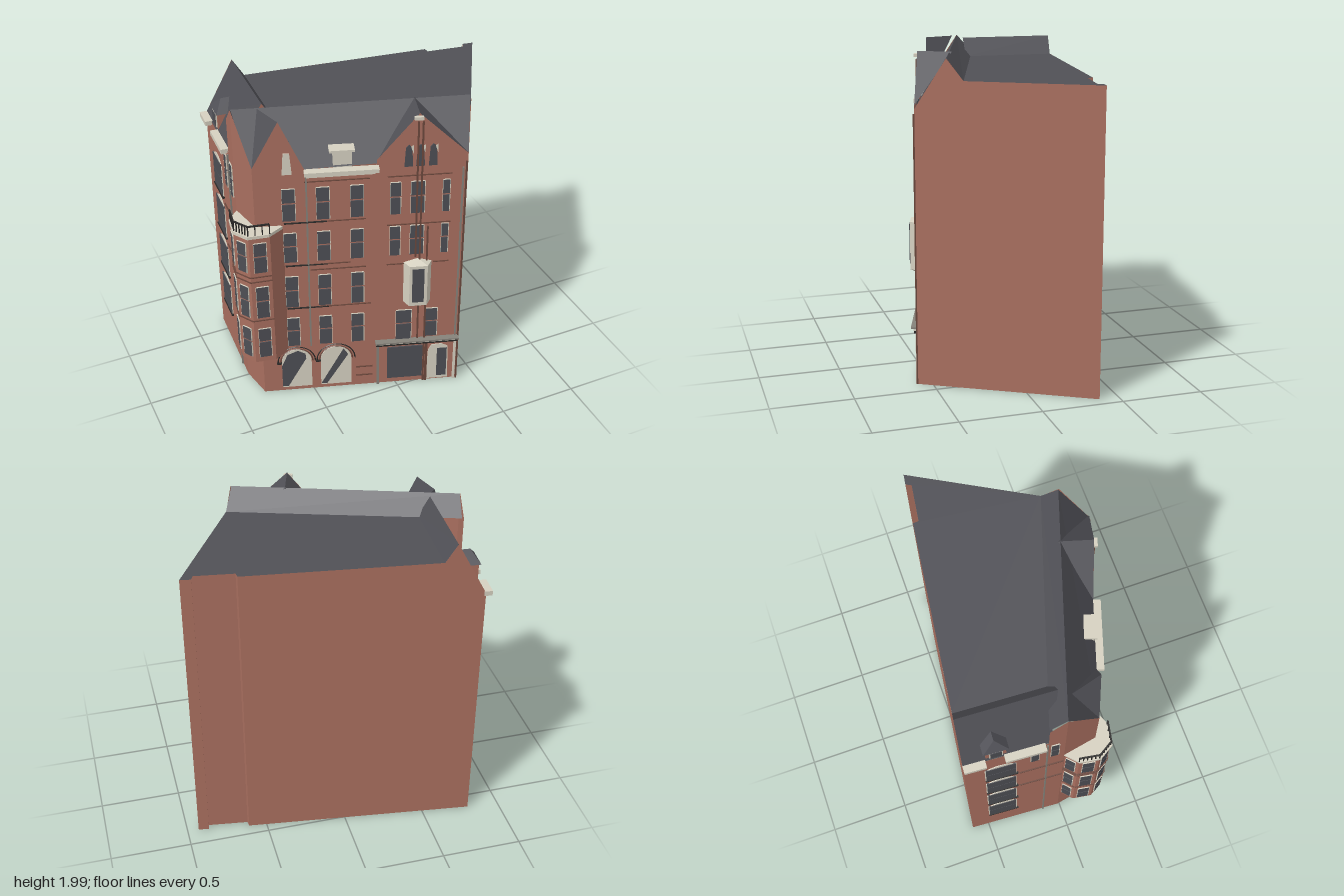
import * as THREE from 'three';

const mat = (name, color) => {
  const m = new THREE.MeshStandardMaterial({ color, side: THREE.DoubleSide, flatShading: true });
  m.name = name;
  return m;
};

export function createModel() {
  const root = new THREE.Group();
  root.name = 'cornerTownhouse';
  const brick = mat('brick', 0xa96f5f), slate = mat('slate', 0x505056), glass = mat('glass', 0x4d4e54);
  const cream = mat('creamStone', 0xd5d0c0), iron = mat('blackIron', 0x2a2928), band = mat('darkBand', 0x6b473c);
  const lead = mat('greyLead', 0x85827a);

  const add = (parent, name, geo, m, x = 0, y = 0, z = 0) => {
    const mesh = new THREE.Mesh(geo, m);
    mesh.name = name;
    mesh.position.set(x, y, z);
    parent.add(mesh);
    return mesh;
  };
  // convex polygon in space, as a fan
  const face = (parent, name, m, pts) => {
    const g = new THREE.BufferGeometry().setFromPoints(pts.map(p => new THREE.Vector3(...p)));
    const idx = [];
    for (let i = 1; i < pts.length - 1; i++) idx.push(0, i, i + 1);
    g.setIndex(idx);
    const flat = g.toNonIndexed();
    flat.computeVertexNormals();
    return add(parent, name, flat, m);
  };
  const shape = pts => new THREE.Shape(pts.map(p => new THREE.Vector2(...p)));
  // wall frame: x runs from a to b (seen from outside), y up, z outward
  const wall = (name, a, b) => {
    const g = new THREE.Group();
    g.name = name;
    g.position.set(a[0], 0, a[1]);
    g.rotation.y = -Math.atan2(b[1] - a[1], b[0] - a[0]);
    g.userData.len = Math.hypot(b[0] - a[0], b[1] - a[1]);
    root.add(g);
    return g;
  };
  const outline = (w, pts) => add(w, 'brickFace', new THREE.ShapeGeometry(shape(pts)), brick);
  const panel = (w, name, m, x0, x1, y0, y1, z = 0, d = 0.009) =>
    add(w, name, new THREE.BoxGeometry(x1 - x0, y1 - y0, d), m, (x0 + x1) / 2, (y0 + y1) / 2, z);
  const plate = (w, name, m, s, z) =>
    add(w, name, new THREE.ExtrudeGeometry(s, { depth: 0.008, bevelEnabled: false, curveSegments: 8 }), m, 0, 0, z);
  // prism standing on a plan polygon of [x, z] points
  const prism = (parent, name, m, plan, y0, y1) => {
    const g = new THREE.ExtrudeGeometry(shape(plan.map(([x, z]) => [x, -z])), { depth: y1 - y0, bevelEnabled: false });
    g.rotateX(-Math.PI / 2);
    return add(parent, name, g, m, 0, y0, 0);
  };
  const cone = (parent, name, m, plan, y, tip) => plan.forEach((p, i) => {
    const q = plan[(i + 1) % plan.length];
    face(parent, name, m, [[p[0], y, p[1]], [q[0], y, q[1]], tip]);
  });
  // sash window: two panes edged by thin stone strips, brick showing between
  const sash = (w, c, width, y0, y1) => {
    const h = width / 2, mid = (y0 + y1) / 2 + 0.01;
    for (const [a, b] of [[y0, mid - 0.006], [mid + 0.006, y1]]) {
      panel(w, 'windowPane', glass, c - h, c + h, a, b, 0.002);
      panel(w, 'windowEdge', cream, c + h, c + h + 0.004, a, b, 0.002);
      panel(w, 'windowEdge', cream, c - h - 0.002, c - h, a, b, 0.002);
    }
    panel(w, 'windowHead', cream, c - h, c + h, y1, y1 + 0.003, 0.002);
  };

  // ---------- walls ----------
  const FL = [-0.8, 0.2], FR = [0.385, 0.585], BR = [0.93, -0.38], BL = [-0.8, -0.61], LM = [-0.838, -0.01];
  const front = wall('frontFacade', FL, FR);
  const u = x => (x + 0.8) / 0.951;
  const zf = x => 0.46 + 0.325 * x;
  outline(front, [[-0.8, 0], [0.385, 0], [0.385, 1.71], [0.11, 1.99], [-0.12, 1.7], [-0.12, 1.65], [-0.51, 1.65],
    [-0.65, 1.985], [-0.8, 1.69]].map(([x, y]) => [u(x), y]));
  const left = wall('leftWall', BL, LM);
  const ll = left.userData.len;
  outline(left, [[0, 0], [ll, 0], [ll, 1.975], [0.5, 1.86], [0.5, 1.64], [0, 1.64]]);
  const splay = wall('leftSplayedWall', LM, FL);
  outline(splay, [[0, 0], [splay.userData.len, 0], [splay.userData.len, 1.69], [0, 1.975]]);
  const right = wall('rightWall', FR, BR);
  outline(right, [[0, 0], [1.108, 0], [1.108, 1.86], [0.292, 1.86], [0.19, 1.985], [0, 1.69]]);
  // rear wall with a shallow recess
  const rear = [BR, [0.865, -0.39], [0.86, -0.355], [0.615, -0.39], [0.612, -0.425]];
  for (let i = 0; i < 4; i++) {
    const w = wall('rearWall', rear[i], rear[i + 1]), L = w.userData.len;
    outline(w, [[0, 0], [L, 0], [L, 1.86], [0, 1.86]]);
  }
  const back = wall('rearWall', rear[4], BL), bl = back.userData.len;
  outline(back, [[0, 0], [bl, 0], [bl, 1.64], [bl - 0.18, 1.975], [bl - 0.25, 1.86], [0, 1.86]]);

  // ---------- roof ----------
  const roof = new THREE.Group();
  roof.name = 'roof';
  root.add(roof);
  const slab = (name, ...pts) => face(roof, name, slate, pts);
  slab('flatRoof', ...[[0.53, 0.33], ...rear, [-0.55, -0.577], [-0.58, -0.03]].map(([x, z]) => [x, 1.86, z]));
  const rl = [-0.835, 1.975, -0.01], rr = [0.475, 1.985, 0.415];
  slab('frontSlope', [-0.8, 1.66, 0.2], [0.385, 1.69, 0.585], rr, rl);
  slab('frontBackSlope', rl, rr, [0.53, 1.86, 0.33], [-0.82, 1.86, -0.11]);
  slab('leftSlope', [-0.8, 1.64, -0.61], [-0.83, 1.64, -0.1], [-0.65, 1.975, 0.0], [-0.62, 1.975, -0.587]);
  slab('leftInnerSlope', [-0.62, 1.975, -0.587], [-0.65, 1.975, 0.0], [-0.58, 1.86, 0], [-0.55, 1.86, -0.577]);
  // gable roofs: left foot, apex, right foot, rear end of ridge
  for (const [l, a, r, b] of [
    [[-0.8, 1.69], [-0.65, 1.985], [-0.51, 1.65], [-0.7, 1.985, 0.06]],
    [[-0.12, 1.69], [0.11, 1.99], [0.385, 1.71], [0.17, 1.985, 0.3]]]) {
    const at = ([x, y]) => [x, y, zf(x)];
    slab('gableRoofLeft', at(l), at(a), b);
    slab('gableRoofRight', at(a), at(r), b);
  }

  // ---------- front windows ----------
  const rows = [[0.37, 0.59], [0.68, 0.91], [1.02, 1.23], [1.32, 1.54]];
  rows.forEach(([y0, y1], i) => {
    for (const x of [-0.61, -0.42, -0.23]) sash(front, u(x), 0.075, y0, y1);
    if (i > 1) for (const [x, w] of [[-0.015, 0.06], [0.11, 0.08], [0.27, 0.04]]) sash(front, u(x), w, y0, y1);
  });
  sash(front, u(0.045), 0.095, 0.36, 0.59);
  sash(front, u(0.21), 0.075, 0.37, 0.59);
  // gable windows with splayed stone heads
  for (const x of [0.055, 0.12, 0.19]) {
    const c = u(x);
    plate(front, 'gablePane', glass, shape([[c - 0.025, 1.645], [c + 0.025, 1.645], [c + 0.018, 1.77], [c, 1.79], [c - 0.018, 1.77]]), -0.002);
    face(front, 'gableWindowHead', cream, [[c + 0.01, 1.78, 0.008], [c + 0.018, 1.765, 0.008], [c + 0.026, 1.73, 0.008], [c + 0.026, 1.79, 0.008]]);
  }
  plate(front, 'leftGableWindow', cream, shape([[u(-0.64), 1.64], [u(-0.585), 1.64], [u(-0.595), 1.78], [u(-0.63), 1.78]]), -0.002);
  panel(front, 'gableFinial', cream, u(0.08), u(0.13), 1.955, 1.975, 0.01, 0.02);

  // string courses, cornice and downpipes
  for (const [x0, x1, y] of [[-0.52, -0.16, 1.58], [-0.5, -0.18, 1.3], [-0.5, -0.27, 0.99], [-0.5, -0.18, 0.95],
    [-0.5, -0.15, 0.665], [-0.06, 0.3, 1.58], [-0.06, 0.3, 1.24], [-0.06, 0.04, 0.95], [0.21, 0.3, 0.95]])
    panel(front, 'stringCourse', band, u(x0), u(x1), y, y + 0.005, 0.002, 0.01);
  for (const y of [1.3, 0.99, 0.665]) panel(front, 'stringCourse', iron, u(-0.64), u(-0.4), y, y + 0.005, 0.004, 0.012);
  panel(front, 'cornice', cream, u(-0.52), u(-0.11), 1.64, 1.665, 0.02, 0.05);
  panel(front, 'corniceBed', cream, u(-0.51), u(-0.13), 1.62, 1.64, 0.01, 0.025);
  for (const [x, y0, y1, m] of [[-0.51, 0.36, 1.62, lead], [0.105, 1.0, 1.94, band], [0.13, 0.36, 1.94, band],
    [0.172, 0, 1.22, band], [0.36, 0.36, 1.62, lead], [0.378, 0, 1.66, band]])
    panel(front, 'downpipe', m, u(x) - 0.005, u(x) + 0.005, y0, y1, 0.005, 0.01);

  // ---------- arched shop windows ----------
  const arches = [
    { x: [-0.69, -0.51], inner: glass, dark: [[0, 0.04], [0.2, 0.04], [0.82, 0.26], [0.8, 0.3], [0.55, 0.328], [0.2, 0.3], [0, 0.21]] },
    { x: [-0.455, -0.27], inner: cream, dark: [[0, 0.04], [0.2, 0.04], [0.9, 0.27], [0.75, 0.32]] }];
  for (const { x, inner, dark } of arches) {
    const a = u(x[0]), b = u(x[1]), r = (b - a) / 2, c = a + r, y = 0.24;
    const s = shape([[a, 0.03], [b, 0.03], [b, y]]);
    s.absarc(c, y, r, 0, Math.PI, false);
    plate(front, 'archedShopWindow', cream, s, -0.001);
    plate(front, 'archedShopWindowInside', inner, s, -0.009);
    face(front, 'archedGlass', glass, dark.map(([t, h]) => [a + t * (b - a), h, 0.009]));
    for (const [rad, m] of [[r + 0.008, band], [r + 0.024, iron]])
      add(front, 'archHood', new THREE.TorusGeometry(rad, 0.004, 4, 12, Math.PI), m, c, y, 0.008);
    panel(front, 'archSpring', iron, a - 0.03, a, y - 0.01, y - 0.003, 0.008, 0.016);
  }
  for (const y of [0.08, 0.15]) panel(front, 'plinthCourse', band, u(-0.24), u(-0.14), y, y + 0.006, 0.003, 0.01);

  // ---------- shopfront ----------
  panel(front, 'shopCornice', lead, u(-0.125), u(0.38), 0.35, 0.36, 0.018, 0.045);
  panel(front, 'shopFascia', cream, u(-0.12), u(0.375), 0.335, 0.35, 0.012, 0.028);
  panel(front, 'shopFasciaLine', iron, u(-0.12), u(0.375), 0.32, 0.335, 0.01, 0.024);
  panel(front, 'shopGlassBack', cream, u(-0.045), u(0.16), 0.05, 0.29, -0.002);
  panel(front, 'shopGlass', glass, u(-0.05), u(0.165), 0.04, 0.295, 0.005);
  const door = shape([[u(0.19), 0.01], [u(0.325), 0.01], [u(0.32), 0.27], [u(0.28), 0.295], [u(0.22), 0.29], [u(0.2), 0.25]]);
  plate(front, 'shopDoor', cream, door, -0.003);
  panel(front, 'shopDoorGlass', glass, u(0.255), u(0.315), 0.03, 0.26, 0.003);
  for (const [x, m] of [[-0.115, lead], [0.18, band], [0.355, cream]])
    panel(front, 'shopPilaster', m, u(x), u(x + 0.014), 0, 0.32, 0.006, 0.016);

  // ---------- oriel window ----------
  const oriel = new THREE.Group();
  oriel.name = 'oriel';
  oriel.position.x = u(0.12);
  front.add(oriel);
  const plan = [[-0.085, 0], [-0.055, 0.055], [0.055, 0.055], [0.085, 0]];
  prism(oriel, 'orielBody', cream, plan, 0.66, 0.96);
  cone(oriel, 'orielBase', cream, plan, 0.66, [0, 0.615, 0]);
  cone(oriel, 'orielCap', cream, plan, 0.96, [0, 0.985, 0]);
  panel(oriel, 'orielGlass', glass, -0.038, 0.035, 0.69, 0.94, 0.056);

  // ---------- corner bay with balcony ----------
  const bay = [[-0.83, -0.01], [-0.905, 0.06], [-0.925, 0.18], [-0.87, 0.27], [-0.745, 0.295], [-0.645, 0.25]];
  prism(root, 'bayBody', brick, bay, 0.33, 1.27);
  prism(root, 'bayCap', cream, bay.map(([x, z]) => [x * 1.01, z * 1.03]), 1.27, 1.29);
  cone(root, 'bayCorbel', lead, bay, 0.33, [-0.79, 0.25, 0.19]);
  for (let i = 0; i < 4; i++) {
    const w = wall('bayFace', bay[i], bay[i + 1]), L = w.userData.len;
    for (const [y0, y1] of rows.slice(0, 3)) sash(w, L / 2, L * 0.58, y0, y1);
    for (const y of [0.655, 0.95, 0.985]) panel(w, 'bayBand', band, 0, L, y, y + 0.005, 0.002, 0.01);
    if (i === 0) continue;
    panel(w, 'balconyRail', iron, 0, L, 1.352, 1.36, 0, 0.01);
    const bars = i < 3 ? 5 : 3;
    for (let k = 0; k <= bars; k++) panel(w, 'balconyBar', iron, L * k / bars - 0.003, L * k / bars + 0.003, 1.29, 1.355, 0, 0.006);
  }

  // ---------- left wall details ----------
  for (const y of [0.28, 0.59, 0.9, 1.21]) {
    const s = shape([[0.12, y], [0.31, y], [0.31, y + 0.21]]);
    s.quadraticCurveTo(0.215, y + 0.3, 0.12, y + 0.21);
    plate(left, 'archedFrame', cream, s, -0.003);
    panel(left, 'archedPane', glass, 0.126, 0.304, y, y + 0.115, 0.004);
    panel(left, 'archedPane', glass, 0.126, 0.304, y + 0.12, y + 0.225, 0.004);
    panel(left, 'windowSill', iron, 0.12, 0.32, y - 0.01, y, 0.005, 0.016);
  }
  for (const s of [0.42, 0.54]) sash(left, s, 0.045, 1.36, 1.58);
  panel(left, 'leftCornice', cream, 0, 0.13, 1.62, 1.65, 0.015, 0.05);
  panel(left, 'leftCornice', cream, 0.24, 0.48, 1.62, 1.65, 0.015, 0.05);
  for (const y of [1.17, 0.86]) panel(left, 'leftBand', band, 0.33, 0.6, y, y + 0.006, 0.003, 0.01);
  panel(left, 'leftDownpipe', lead, 0.49, 0.498, 0, 1.62, 0.005, 0.01);

  // ---------- dormers ----------
  panel(front, 'frontDormer', cream, u(-0.36), u(-0.255), 1.66, 1.765, -0.05, 0.09);
  panel(front, 'frontDormerCap', cream, u(-0.38), u(-0.24), 1.765, 1.78, -0.055, 0.12);
  panel(left, 'leftDormer', brick, 0.135, 0.255, 1.65, 1.76, -0.06, 0.1);
  panel(left, 'leftDormerWindow', cream, 0.155, 0.235, 1.66, 1.75, -0.008);
  panel(left, 'leftDormerPane', glass, 0.162, 0.228, 1.665, 1.745, -0.005);
  face(left, 'leftDormerHip', slate, [[0.12, 1.76, 0], [0.27, 1.76, 0], [0.195, 1.83, -0.05]]);
  for (const x of [0.12, 0.27])
    face(left, 'leftDormerSlope', slate, [[x, 1.76, 0], [0.195, 1.83, -0.05], [0.195, 1.83, -0.12], [x, 1.76, -0.12]]);
  return root;
}
